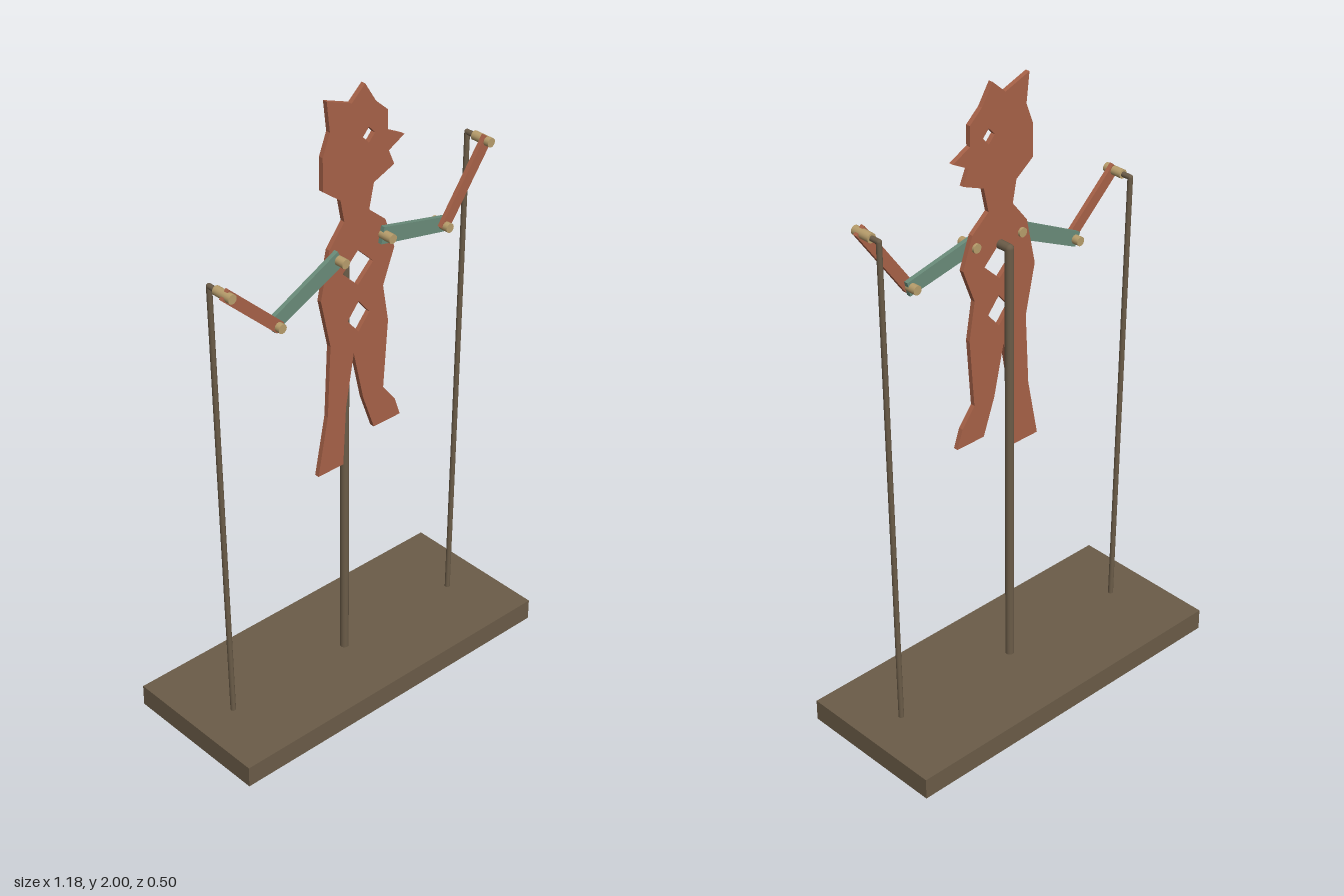
import * as THREE from 'three';

const paint = (name, color) => {
  const m = new THREE.MeshStandardMaterial({ color });
  m.name = name;
  return m;
};

export function createModel() {
  const wood = paint('darkWood', 0x6b5c48);
  const rust = paint('rustRed', 0xa86248);
  const teal = paint('dustyTeal', 0x6a8c7a);
  const brass = paint('paleBrass', 0xb89e6c);
  const model = new THREE.Group();
  model.name = 'jumpingPuppet';

  const add = (name, geometry, material, parent = model) => {
    const mesh = new THREE.Mesh(geometry, material);
    mesh.name = name;
    parent.add(mesh);
    return mesh;
  };

  // Flat plate cut from a shape, its back face at z
  const plate = (shape, z, depth) => {
    const g = new THREE.ExtrudeGeometry(shape, { depth, bevelEnabled: false });
    return g.translate(0, 0, z);
  };
  const toPoints = list => list.map(([x, y]) => new THREE.Vector2(x, y));

  // Round bar from a to b
  const bar = (name, a, b, radius, parent) => {
    const dir = b.clone().sub(a);
    const mesh = add(name, new THREE.CylinderGeometry(radius, radius, dir.length(), 12), wood, parent);
    mesh.position.copy(a).add(b).multiplyScalar(0.5);
    mesh.quaternion.setFromUnitVectors(new THREE.Vector3(0, 1, 0), dir.normalize());
  };

  // Rising rod that bends forward at the top
  const bentRod = (name, foot, top, endZ, radius) => {
    const group = new THREE.Group();
    group.name = name;
    bar(name + 'Upright', foot, top, radius, group);
    bar(name + 'Hook', top, new THREE.Vector3(top.x, top.y, endZ), radius, group);
    add(name + 'Bend', new THREE.SphereGeometry(radius, 12, 8), wood, group).position.copy(top);
    model.add(group);
  };

  // Base board and centre post
  add('base', new THREE.BoxGeometry(1.18, 0.07, 0.5), wood).position.y = 0.035;
  bentRod('post', new THREE.Vector3(0, 0.06, 0.016), new THREE.Vector3(0, 1.5, 0.016), 0.056, 0.014);

  // Body silhouette, clockwise from the rear crest tip
  const body = new THREE.Shape(toPoints([
    [-0.113, 1.99], [-0.023, 1.957], [0.025, 2], [0.065, 1.937], [0.11, 1.897], [0.11, 1.835],
    [0.173, 1.803], [0.115, 1.772], [0.136, 1.724], [0.06, 1.693], [0.043, 1.615], [0.105, 1.563],
    [0.141, 1.463], [0.099, 1.352], [0.12, 1.23], [0.104, 1.008], [0.152, 0.947], [0.173, 0.886],
    [0.068, 0.886], [0.025, 1.005], [-0.013, 1.172], [-0.043, 0.998], [-0.053, 0.807],
    [-0.15, 0.807], [-0.113, 0.998], [-0.102, 1.23], [-0.137, 1.39], [-0.105, 1.54],
    [-0.05, 1.61], [-0.064, 1.68], [-0.128, 1.728], [-0.128, 1.83], [-0.102, 1.897],
  ]));
  // Diamond cutouts: eye, chest and belly
  for (const [x, y, w, h] of [[0.04, 1.844, 0.022, 0.024], [0.002, 1.447, 0.058, 0.056], [0.005, 1.287, 0.042, 0.05]]) {
    body.holes.push(new THREE.Path(toPoints([[x - w, y], [x, y - h], [x + w, y], [x, y + h]])));
  }
  add('body', plate(body, 0.054, 0.015), rust);

  // Straight limb slat between two joints
  const slat = (name, a, b, wa, wb, z, material) => {
    const dx = b[0] - a[0], dy = b[1] - a[1], len = Math.hypot(dx, dy);
    const shape = new THREE.Shape(toPoints([
      [-0.01, -wa / 2], [len + 0.012, -wb / 2], [len + 0.012, wb / 2], [-0.01, wa / 2],
    ]));
    const mesh = add(name, plate(shape, z, 0.014), material);
    mesh.position.set(a[0], a[1], 0);
    mesh.rotation.z = Math.atan2(dy, dx);
  };

  // Arms with pegs at every joint and a control rod at each wrist
  const arms = [
    { side: 'right', joints: [[-0.084, 1.508], [-0.316, 1.395], [-0.488, 1.555]], footX: -0.454 },
    { side: 'left', joints: [[0.093, 1.521], [0.317, 1.474], [0.473, 1.692]], footX: 0.451 },
  ];
  for (const { side, joints, footX } of arms) {
    const [shoulder, elbow, wrist] = joints;
    slat(side + 'UpperArm', shoulder, elbow, 0.052, 0.046, 0.069, teal);
    slat(side + 'Forearm', elbow, wrist, 0.036, 0.036, 0.083, rust);
    joints.forEach(([x, y], i) => {
      const peg = add(side + ['Shoulder', 'Elbow', 'Wrist'][i] + 'Peg',
        new THREE.CylinderGeometry(0.0145, 0.0145, 0.068, 16), brass);
      peg.rotation.x = Math.PI / 2;
      peg.position.set(x, y, 0.08);
    });
    bentRod(side + 'ControlRod', new THREE.Vector3(footX, 0.06, 0.017),
      new THREE.Vector3(wrist[0], wrist[1], 0.017), 0.05, 0.0085);
  }
  return model;
}
